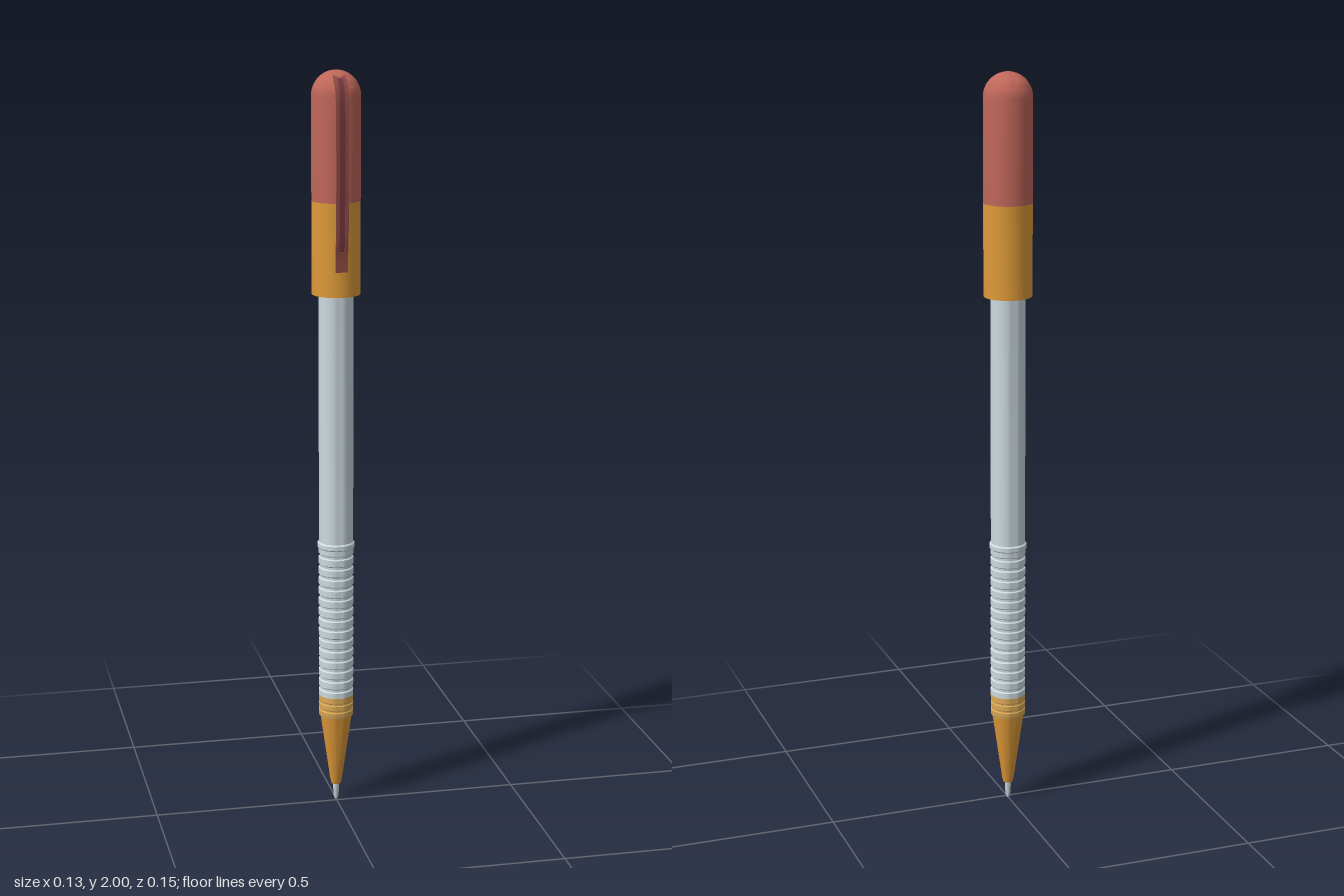
import * as THREE from 'three';
import { toCreasedNormals } from 'three/addons/utils/BufferGeometryUtils.js';

const AXIS_Z = -0.0095; // the body sits slightly back to balance the clip

const mat = (name, color) => {
  const m = new THREE.MeshStandardMaterial({ color });
  m.name = name;
  return m;
};

export function createModel() {
  const red = mat('terracotta', 0xc0675a);
  const gold = mat('gold', 0xdf9a38);
  const paleGold = mat('paleGold', 0xdcab58);
  const silver = mat('silver', 0xccdadf);
  const maroon = mat('maroon', 0x8c4a44);
  const darkMaroon = mat('darkMaroon', 0x74353a);

  const pen = new THREE.Group();
  pen.name = 'pen';

  const add = (name, geometry, material, parent = pen) => {
    const mesh = new THREE.Mesh(toCreasedNormals(geometry, 0.5), material);
    mesh.name = name;
    parent.add(mesh);
    return mesh;
  };

  // Turned part: profile of [radius, y] pairs from bottom to top
  const turned = (name, profile, material) => {
    const pts = profile.map(([r, y]) => new THREE.Vector2(r, y));
    add(name, new THREE.LatheGeometry(pts, 32), material).position.z = AXIS_Z;
  };

  // Writing end
  turned('nib', [[0, 0], [0.004, 0.001], [0.007, 0.012], [0.009, 0.05], [0, 0.05]], silver);
  turned('tipCone', [[0, 0.048], [0.013, 0.048], [0.016, 0.06], [0.043, 0.25], [0, 0.25]], gold);

  // Collar with two fine grooves
  turned('collar', [
    [0, 0.25], [0.046, 0.25], [0.047, 0.253], [0.047, 0.267], [0.045, 0.269], [0.045, 0.273],
    [0.047, 0.275], [0.047, 0.287], [0.045, 0.289], [0.045, 0.293], [0.047, 0.295],
    [0.047, 0.31], [0, 0.31],
  ], paleGold);

  // Grip with evenly spaced grooves
  const grip = [[0, 0.31], [0.047, 0.31]];
  for (let i = 0; i < 14; i++) {
    const y = 0.325 + i * 0.029;
    grip.push([0.047, y], [0.0435, y + 0.003], [0.0435, y + 0.009], [0.047, y + 0.012]);
  }
  grip.push([0.047, 0.728], [0.05, 0.731], [0.05, 0.742], [0.046, 0.746], [0, 0.746]);
  turned('grip', grip, silver);

  turned('barrel', [[0.046, 0.745], [0.046, 1.5], [0, 1.5]], silver);

  // Cap: gold sleeve, red body with domed top
  turned('capSleeve', [[0.046, 1.44], [0.058, 1.42], [0.064, 1.42], [0.064, 1.665]], gold);
  const dome = [[0.064, 1.665]];
  for (let i = 0; i <= 12; i++) {
    const a = (i / 12) * Math.PI / 2;
    dome.push([0.064 * Math.cos(a), 1.936 + 0.064 * Math.sin(a)]);
  }
  dome[dome.length - 1][0] = 0;
  turned('capBody', dome, red);

  // Clip: strips that follow one side curve, given as (z, y)
  const path = new THREE.CatmullRomCurve3([
    [0.018, 1.986], [0.042, 1.979], [0.06, 1.955], [0.068, 1.91], [0.07, 1.82],
    [0.07, 1.68], [0.066, 1.57], [0.061, 1.53], [0.06, 1.488],
  ].map(([z, y]) => new THREE.Vector3(z, y, 0)));

  const clip = new THREE.Group();
  clip.name = 'clip';
  pen.add(clip);

  const strip = (name, x0, x1, inner, outer, u0, u1, material) => {
    const outside = [], inside = [];
    for (let i = 0; i <= 28; i++) {
      const u = u0 + (u1 - u0) * i / 28;
      const p = path.getPointAt(u), t = path.getTangentAt(u);
      const at = (d) => new THREE.Vector2(p.x - t.y * d, p.y + t.x * d);
      outside.push(at(outer));
      inside.unshift(at(inner));
    }
    const g = new THREE.ExtrudeGeometry(new THREE.Shape([...outside, ...inside]), {
      depth: x1 - x0, bevelEnabled: false,
    });
    g.rotateY(-Math.PI / 2).translate(x1, 0, 0);
    add(name, g, material, clip);
  };

  strip('clipChannel', -0.007, 0.007, -0.0035, 0.0005, 0, 0.9, darkMaroon);
  strip('clipRailLeft', 0.007, 0.016, -0.0035, 0.0035, 0, 0.9, maroon);
  strip('clipRailRight', -0.016, -0.007, -0.0035, 0.0035, 0, 0.9, maroon);
  strip('clipEnd', -0.016, 0.016, -0.0035, 0.0035, 0.9, 1, maroon);

  return pen;
}
